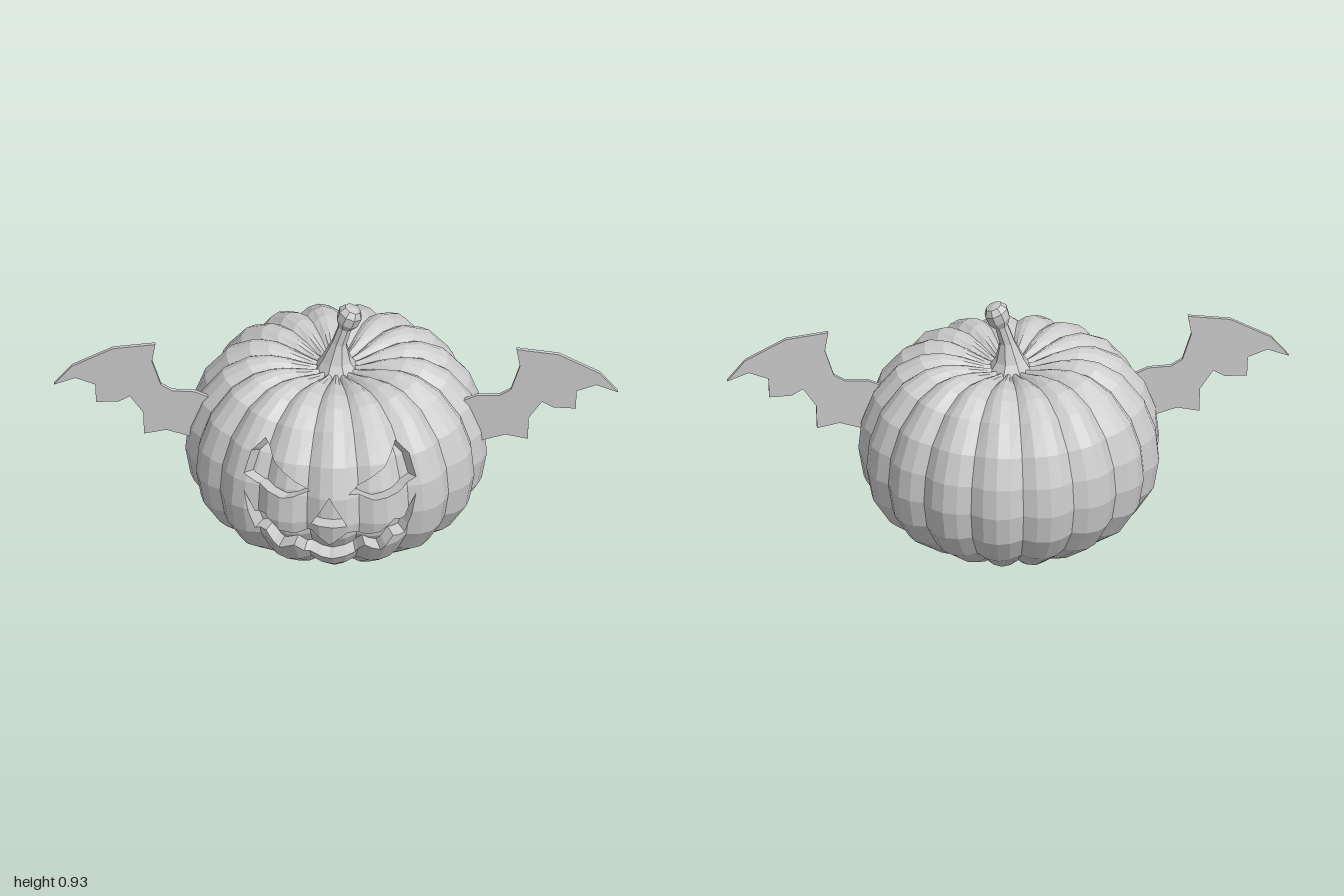
import * as THREE from 'three';

const V3 = (x, y, z) => new THREE.Vector3(x, y, z);
const grey = () => new THREE.MeshStandardMaterial({ color: 0xcccccc, flatShading: true });

// Triangles between successive rings of points, bottom ring first
function loft(rings) {
  const tris = [];
  for (let i = 0; i < rings.length - 1; i++) {
    const lo = rings[i], hi = rings[i + 1], n = lo.length;
    for (let j = 0; j < n; j++) {
      const k = (j + 1) % n;
      if (lo[j].distanceTo(lo[k]) > 1e-5) tris.push([lo[j], lo[k], hi[k]]);
      if (hi[j].distanceTo(hi[k]) > 1e-5) tris.push([lo[j], hi[k], hi[j]]);
    }
  }
  return tris;
}

// Flat-faced mesh from convex polygons
function polyMesh(name, polys) {
  const pos = [];
  for (const p of polys)
    for (let i = 1; i < p.length - 1; i++)
      for (const v of [p[0], p[i], p[i + 1]]) pos.push(v.x, v.y, v.z);
  const geo = new THREE.BufferGeometry();
  geo.setAttribute('position', new THREE.Float32BufferAttribute(pos, 3));
  geo.computeVertexNormals();
  const mesh = new THREE.Mesh(geo, grey());
  mesh.name = name;
  return mesh;
}

// Signed distance of p from the line a-b seen from the front (positive = left)
function side(a, b, p) {
  return ((b.x - a.x) * (p.y - a.y) - (b.y - a.y) * (p.x - a.x)) / Math.hypot(b.x - a.x, b.y - a.y);
}

// Split a polygon by the line a-b into [left part, right part]
function split(poly, a, b) {
  const left = [], right = [];
  poly.forEach((p, i) => {
    const q = poly[(i + 1) % poly.length], dp = side(a, b, p), dq = side(a, b, q);
    if (dp > -1e-7) left.push(p);
    if (dp < 1e-7) right.push(p);
    if ((dp > 1e-7 && dq < -1e-7) || (dp < -1e-7 && dq > 1e-7)) {
      const m = p.clone().lerp(q, dp / (dp - dq));
      left.push(m);
      right.push(m);
    }
  });
  return [left, right].map((s) => (s.length > 2 && s.some((p) => Math.abs(side(a, b, p)) > 1e-6) ? s : null));
}

// Cut a front-view outline out of the polygons: returns the outside and inside pieces
function carve(polys, outline) {
  let outside = polys;
  const inside = [];
  for (const face of THREE.ShapeUtils.triangulateShape(outline, [])) {
    const t = face.map((i) => outline[i]);
    if (THREE.ShapeUtils.area(t) < 0) t.reverse();
    const next = [];
    for (const poly of outside) {
      let rest = poly;
      const cut = [];
      if (poly.every((p) => p.z > 0.2)) {
        for (let e = 0; e < 3 && rest; e++) {
          const [l, r] = split(rest, t[e], t[(e + 1) % 3]);
          if (r) cut.push(r);
          rest = l;
        }
      } else rest = null;
      if (rest) {
        inside.push(rest);
        next.push(...cut);
      } else next.push(poly);
    }
    outside = next;
  }
  return { outside, inside };
}

// Walls and floor of a carved recess, shrinking toward the pumpkin's middle
function recess(inside, outline) {
  const centre = V3(0, 0.34, 0);
  const sink = (p) => p.clone().sub(centre).multiplyScalar(0.9).add(centre);
  const polys = [];
  for (const piece of inside) {
    polys.push(piece.map(sink));
    piece.forEach((p, i) => {
      const q = piece[(i + 1) % piece.length];
      const onRim = outline.some((a, k) => {
        const b = outline[(k + 1) % outline.length];
        const mid = new THREE.Vector2((p.x + q.x) / 2, (p.y + q.y) / 2);
        return Math.abs(side(a, b, p)) < 1e-5 && Math.abs(side(a, b, q)) < 1e-5 &&
          mid.distanceTo(a) + mid.distanceTo(b) < a.distanceTo(b) + 1e-5;
      });
      if (onRim) polys.push([p, q, sink(q), sink(p)]);
    });
  }
  return polys;
}

// Ribbed body: 17 lobes of four facets, with the grooves drawn in toward the middle
function bodyTriangles() {
  const profile = [[0, 0.03], [0.245, 0], [0.33, 0.04], [0.455, 0.13], [0.518, 0.23], [0.537, 0.34],
    [0.526, 0.45], [0.485, 0.56], [0.405, 0.66], [0.32, 0.707], [0.25, 0.717], [0.17, 0.705], [0.09, 0.68], [0, 0.66]];
  const lobe = [1, 0.985, 0.945, 0.985];
  return loft(profile.map(([r, y]) => Array.from({ length: 68 }, (_, j) => {
    const a = (j / 68) * Math.PI * 2;
    const s = r > 0 ? lobe[j % 4] : 1;
    return V3(Math.sin(a) * r * s, 0.34 + (y - 0.34) * s, Math.cos(a) * r * s);
  })));
}

export function createModel() {
  const model = new THREE.Group();
  model.name = 'wingedPumpkin';

  // Face outlines
  const cx = -0.013;
  const pts = (list, m = 1) => list.map(([x, y]) => new THREE.Vector2(cx + x * m, y));
  const eye = [[0.23, 0.6], [0.195, 0.548], [0.07, 0.462], [0.165, 0.436], [0.26, 0.452], [0.305, 0.478], [0.28, 0.56]];
  const upperLip = [[0.065, 0.31], [0.12, 0.29], [0.18, 0.3], [0.23, 0.35], [0.265, 0.335], [0.305, 0.415]];
  const lowerLip = [[0.29, 0.33], [0.265, 0.255], [0.225, 0.27], [0.18, 0.205], [0.125, 0.235], [0.09, 0.185]];
  const halfMouth = [...upperLip, ...lowerLip];
  const outlines = {
    leftEye: pts(eye),
    rightEye: pts(eye, -1),
    nose: pts([[0, 0.457], [-0.064, 0.34], [0.064, 0.34]]),
    mouth: pts([[0, 0.255], ...halfMouth, [0, 0.168], ...halfMouth.map(([x, y]) => [-x, y]).reverse()]),
  };

  // Body with the carved features
  let body = bodyTriangles();
  for (const [name, outline] of Object.entries(outlines)) {
    const { outside, inside } = carve(body, outline);
    body = outside;
    model.add(polyMesh(name, recess(inside, outline)));
  }
  model.add(polyMesh('body', body));

  // Leaning stem with a knob: [x, y, radius, tilt]
  const stem = [[0, 0.64, 0.095, 0], [0, 0.7, 0.054, 0.05], [0.01, 0.77, 0.028, 0.2], [0.03, 0.835, 0.025, 0.35],
    [0.038, 0.862, 0.042, 0.4], [0.05, 0.895, 0.045, 0.4], [0.058, 0.915, 0.03, 0.4], [0.06, 0.921, 0, 0.4]];
  model.add(polyMesh('stem', loft(stem.map(([x, y, r, tilt]) => Array.from({ length: 8 }, (_, j) => {
    const a = ((j + 0.5) / 8) * Math.PI * 2, s = Math.sin(a) * r;
    return V3(x + s * Math.cos(tilt), y - s * Math.sin(tilt), Math.cos(a) * r);
  })))));

  // Thin bat wings
  const wing = [[0.45, 0.41], [0.52, 0.412], [0.6, 0.437], [0.68, 0.42], [0.683, 0.51], [0.73, 0.58], [0.77, 0.556],
    [0.85, 0.553], [0.853, 0.628], [0.923, 0.655], [1, 0.625], [0.935, 0.705], [0.79, 0.783], [0.64, 0.803],
    [0.652, 0.73], [0.62, 0.63], [0.58, 0.605], [0.5, 0.602], [0.45, 0.58]];
  for (const [name, m] of [['leftWing', 1], ['rightWing', -1]]) {
    const shape = new THREE.Shape(wing.map(([x, y]) => new THREE.Vector2(x * m, y)));
    const geo = new THREE.ExtrudeGeometry(shape, { depth: 0.014, bevelEnabled: false });
    const mesh = new THREE.Mesh(geo, grey());
    mesh.name = name;
    mesh.position.z = 0.064;
    model.add(mesh);
  }
  return model;
}
